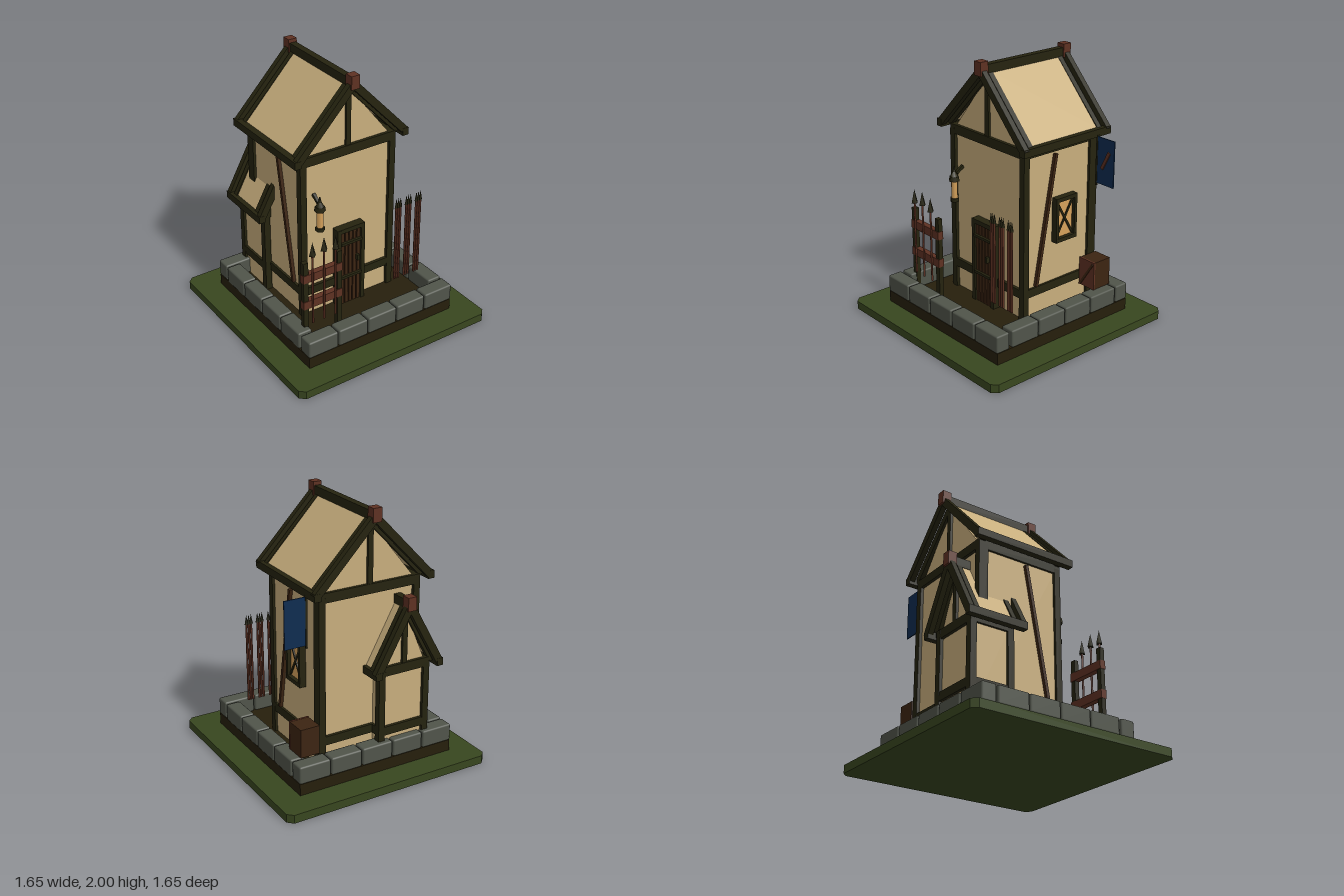
import * as THREE from 'three';
import { RoundedBoxGeometry } from 'three/addons/geometries/RoundedBoxGeometry.js';

const material = (name, color, extra = {}) => {
  const m = new THREE.MeshStandardMaterial({ color, ...extra });
  m.name = name;
  return m;
};

export function createModel() {
  const grass = material('grass', 0x38461f);
  const dirt = material('dirt', 0x261f0c);
  const stone = material('stone', 0x50544a);
  const timber = material('timber', 0x25230f);
  const plaster = material('plaster', 0xc8ae7d);
  const redWood = material('red wood', 0x5e3122);
  const darkWood = material('dark wood', 0x3c2412);
  const amber = material('amber glass', 0xd6a25c);
  const blue = material('blue cloth', 0x0e2c50);

  const root = new THREE.Group();
  root.name = 'timberHouse';
  const group = (name, parent = root) => {
    const g = new THREE.Group();
    g.name = name;
    parent.add(g);
    return g;
  };
  const add = (parent, name, geo, mat, x = 0, y = 0, z = 0) => {
    const m = new THREE.Mesh(geo, mat);
    m.name = name;
    m.position.set(x, y, z);
    parent.add(m);
    return m;
  };
  // Box given by its minimum and maximum on each axis
  const box = (parent, name, mat, x0, x1, y0, y1, z0, z1) =>
    add(parent, name, new THREE.BoxGeometry(x1 - x0, y1 - y0, z1 - z0), mat, (x0 + x1) / 2, (y0 + y1) / 2, (z0 + z1) / 2);
  // Sloping beam in the xy plane, from a to b
  const beamXY = (parent, name, mat, ax, ay, bx, by, thick, z, depth) => {
    const m = add(parent, name, new THREE.BoxGeometry(Math.hypot(bx - ax, by - ay), thick, depth), mat, (ax + bx) / 2, (ay + by) / 2, z);
    m.rotation.z = Math.atan2(by - ay, bx - ax);
    return m;
  };
  // Sloping beam in the zy plane, from a to b
  const beamZY = (parent, name, mat, az, ay, bz, by, thick, x, width) => {
    const m = add(parent, name, new THREE.BoxGeometry(width, thick, Math.hypot(bz - az, by - ay)), mat, x, (ay + by) / 2, (az + bz) / 2);
    m.rotation.x = -Math.atan2(by - ay, bz - az);
    return m;
  };

  // Ground slab with cut corners, and the dirt mound
  const e = 0.825, c = 0.785;
  const outline = new THREE.Shape([[e, c], [c, e], [-c, e], [-e, c], [-e, -c], [-c, -e], [c, -e], [e, -c]]
    .map(([x, y]) => new THREE.Vector2(x, y)));
  add(root, 'ground', new THREE.ExtrudeGeometry(outline, { depth: 0.063, bevelEnabled: false }), grass).rotation.x = -Math.PI / 2;
  box(root, 'dirtBase', dirt, -0.63, 0.63, 0.063, 0.15, -0.63, 0.63);

  // Ring of foundation stones
  const stones = group('foundationStones');
  const block = (w, d, x, z) => add(stones, 'stone', new RoundedBoxGeometry(w, 0.13, d, 1, 0.012), stone, x, 0.215, z);
  for (const s of [-1, 1]) {
    for (let i = -2; i <= 2; i++) block(0.245, 0.113, i * 0.255, s * 0.578);
    for (let i = 0; i < 4; i++) block(0.113, 0.245, s * 0.579, 0.377 - i * 0.254);
  }

  // Timber-framed building with a gabled roof; hw = post offset, foot = roof half width
  const framed = (name, o) => {
    const g = group(name);
    g.position.x = o.cx;
    const { hw, zf, zb, top, ridge, foot, footY } = o, p = 0.025;
    box(g, 'walls', plaster, -hw - 0.005, hw + 0.005, 0.15, top, zb, zf);
    for (const s of [-1, 1]) {
      const x = s * hw;
      box(g, 'frontPost', timber, x - p, x + p, 0.15, top, zf - p, zf + p);
      box(g, 'backPost', timber, x - p, x + p, 0.15, top, zb - p, zb + o.backPost);
      for (const [n, y0, y1] of [['sill', 0.32, 0.385], ['wallPlate', top - 0.035, top + 0.035]])
        box(g, n, timber, x - p * 0.9, x + p * 0.9, y0, y1, zb - p, zf + p);
      // Roof panel, eave beam
      const k = 0.97;
      beamXY(g, 'roofPanel', plaster, 0, ridge - 0.012, s * foot * k, footY + (ridge - footY) * (1 - k) - 0.012, 0.025, (zf + zb) / 2, zf - zb);
      box(g, 'eaveBeam', timber, s * foot - 0.03, s * foot + 0.02, footY - 0.028, footY + 0.028, zb - 0.085, zf + 0.085);
    }
    for (const [z, d] of [[zf, 1], [zb, -1]]) {
      for (const [n, y0, y1] of [['sill', 0.32, 0.385], ['wallPlate', top - 0.035, top + 0.035]])
        box(g, n, timber, -hw, hw, y0, y1, z - p * 0.96, z + p * 0.96);
      // Gable wall, king post, rafters and barge boards
      const tri = new THREE.Shape([new THREE.Vector2(-hw, top), new THREE.Vector2(hw, top), new THREE.Vector2(0, ridge - 0.04)]);
      add(g, 'gable', new THREE.ExtrudeGeometry(tri, { depth: 0.02, bevelEnabled: false }), plaster, 0, 0, z - d * 0.01 - 0.01);
      box(g, 'kingPost', timber, -0.02, 0.02, top, ridge - 0.05, z - 0.02, z + 0.018);
      for (const s of [-1, 1]) {
        beamXY(g, 'rafter', timber, 0, ridge - 0.03, s * foot * 0.95, footY, 0.055, z, 0.04);
        beamXY(g, 'bargeBoard', timber, 0, ridge, s * (foot + 0.005), footY, 0.056, z + d * 0.062, 0.042);
      }
      box(g, 'ridgeCap', redWood, -0.034, 0.034, ridge - 0.03, ridge + 0.07, z + d * 0.062 - 0.035, z + d * 0.062 + 0.035);
    }
    box(g, 'ridgeBeam', timber, -0.026, 0.026, ridge - 0.025, ridge + 0.043, zb - 0.083, zf + 0.083);
    return g;
  };
  const house = framed('house', { cx: 0, hw: 0.38, zf: 0.17, zb: -0.485, top: 1.415, ridge: 1.93, foot: 0.452, footY: 1.453, backPost: 0.05 });
  framed('annex', { cx: -0.235, hw: 0.185, zf: -0.27, zb: -0.575, top: 0.815, ridge: 1.29, foot: 0.255, footY: 0.82, backPost: 0.025 });

  // Wall braces on both sides
  for (const s of [-1, 1]) beamZY(house, 'wallBrace', darkWood, -0.105, 1.36, 0.07, 0.39, 0.025, s * 0.395, 0.03);

  // Side window with crossed bars
  const win = group('window', house);
  box(win, 'pane', amber, 0.385, 0.405, 0.7, 1.02, -0.28, -0.1);
  for (const y of [0.705, 1.015]) box(win, 'frame', timber, 0.385, 0.435, y - 0.015, y + 0.015, -0.29, -0.09);
  for (const z of [-0.278, -0.102]) box(win, 'frame', timber, 0.385, 0.434, 0.7, 1.02, z - 0.012, z + 0.012);
  beamZY(win, 'bar', timber, -0.27, 0.72, -0.11, 1.0, 0.016, 0.407, 0.014);
  beamZY(win, 'bar', timber, -0.27, 1.0, -0.11, 0.72, 0.016, 0.407, 0.012);

  // Plank door
  const door = group('door', house);
  box(door, 'doorBack', timber, -0.1, 0.1, 0.15, 0.78, 0.16, 0.205);
  for (let i = -2; i <= 2; i++) box(door, 'plank', darkWood, i * 0.035 - 0.013, i * 0.035 + 0.013, 0.15, 0.77, 0.2, 0.225);
  for (const s of [-1, 1]) box(door, 'jamb', timber, s * 0.104 - 0.016, s * 0.104 + 0.016, 0.15, 0.8, 0.16, 0.235);
  box(door, 'lintel', timber, -0.12, 0.12, 0.77, 0.804, 0.16, 0.234);
  for (const y of [0.39, 0.68]) box(door, 'strap', timber, -0.09, 0.09, y - 0.01, y + 0.01, 0.22, 0.245);
  box(door, 'handle', timber, 0.045, 0.065, 0.505, 0.55, 0.22, 0.25);

  // Hanging lantern
  const lamp = group('lantern');
  lamp.position.set(-0.288, 0, 0.257);
  const round = (name, mat, r0, r1, y0, y1, n = 6) =>
    add(lamp, name, new THREE.CylinderGeometry(r1, r0, y1 - y0, n).toNonIndexed(), mat, 0, (y0 + y1) / 2, 0);
  round('lanternBase', timber, 0.034, 0.034, 0.89, 0.918);
  round('lanternGlass', amber, 0.025, 0.025, 0.915, 1.055);
  round('lanternRim', timber, 0.042, 0.036, 1.05, 1.085);
  round('lanternRoof', timber, 0.032, 0.006, 1.085, 1.13);
  round('lanternSpike', timber, 0.012, 0.004, 1.12, 1.16);
  beamZY(lamp, 'lanternArm', timber, -0.08, 1.145, -0.02, 1.105, 0.022, 0, 0.022);

  // Spears: leaning rows by the fence and by the door
  const spear = (parent, x, z, y0, y1, tip, r) => {
    const g = group('spear', parent);
    g.position.set(x, 0, z);
    add(g, 'shaft', new THREE.CylinderGeometry(0.008, 0.008, y1 - y0 - tip * 0.9, 6), redWood, 0, (y0 + y1 - tip * 0.9) / 2, 0);
    add(g, 'tip', new THREE.ConeGeometry(r, tip, 4).toNonIndexed(), timber, 0, y1 - tip / 2, 0);
  };
  const fence = group('fence');
  for (const x of [-0.537, -0.255]) box(fence, 'fencePost', timber, x - 0.02, x + 0.02, 0.15, 0.81, 0.417, 0.453);
  for (const y of [0.46, 0.68]) box(fence, 'fenceRail', redWood, -0.56, -0.233, y - 0.032, y + 0.032, 0.412, 0.458);
  [[-0.493, 0.975], [-0.398, 0.985], [-0.302, 0.965]].forEach(([x, y]) => spear(fence, x, 0.47, 0.305, y, 0.105, 0.028));
  const rack = group('spearRow');
  for (const cx of [0.3, 0.39, 0.48])
    for (const d of [-0.019, 0, 0.019]) spear(rack, cx + d, 0.388, 0.33, 1.02, 0.075, 0.015);

  // Crate on the stones
  const crate = group('crate');
  box(crate, 'crateBox', darkWood, 0.41, 0.558, 0.28, 0.495, -0.518, -0.365);
  box(crate, 'crateFront', redWood, 0.408, 0.56, 0.28, 0.497, -0.367, -0.353);
  beamXY(crate, 'crateBrace', darkWood, 0.425, 0.295, 0.545, 0.48, 0.018, -0.352, 0.008);

  // Banner on a short pole
  const banner = group('banner');
  box(banner, 'cloth', blue, 0.472, 0.635, 1.08, 1.43, -0.449, -0.441);
  box(banner, 'pole', timber, 0.46, 0.474, 1.06, 1.44, -0.452, -0.438);
  beamXY(banner, 'sash', redWood, 0.522, 1.2, 0.59, 1.335, 0.025, -0.437, 0.009);

  return root;
}
